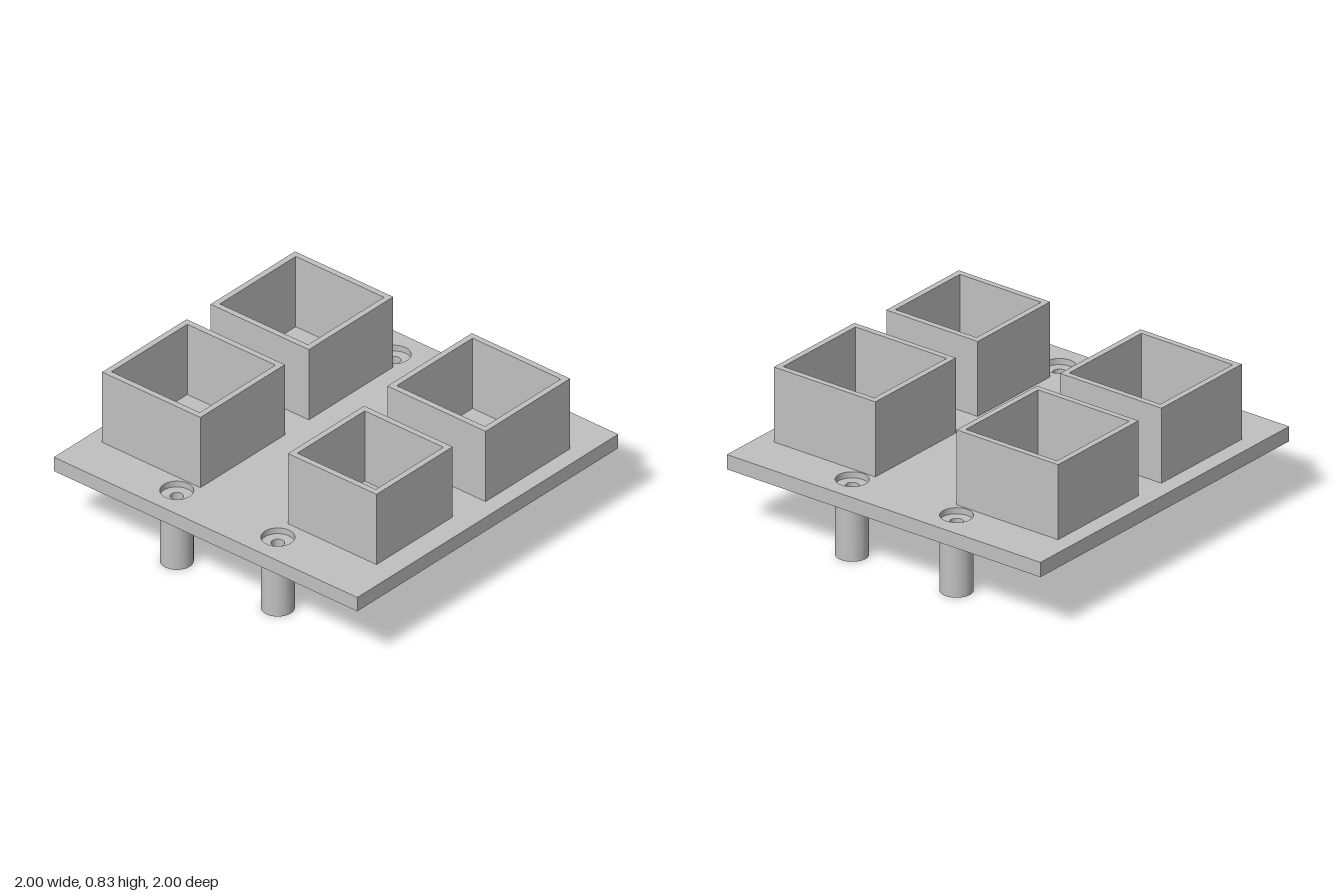
import * as THREE from 'three';
import { toCreasedNormals } from 'three/addons/utils/BufferGeometryUtils.js';

const PLATE_BOTTOM = 0.335, PLATE_TOP = 0.417, BOX_TOP = 0.833;
const POST_X = 0.333, POST_Z = 0.833, POST_R = 0.085, BORE_R = 0.034;
const POST_TOP = 0.383; // post ends just below the plate surface

const rectangle = (kind, w, d) => new kind([
  new THREE.Vector2(-w / 2, -d / 2), new THREE.Vector2(w / 2, -d / 2),
  new THREE.Vector2(w / 2, d / 2), new THREE.Vector2(-w / 2, d / 2),
]);

const circle = (kind, x, y, r) => new kind().absarc(x, y, r, 0, Math.PI * 2, false);

// Extrude a plan outline upwards from y0 to y1
function extrudeUp(shape, y0, y1) {
  const geometry = new THREE.ExtrudeGeometry(shape, {
    depth: y1 - y0, bevelEnabled: false, curveSegments: 40,
  });
  geometry.rotateX(-Math.PI / 2);
  geometry.translate(0, y0, 0);
  return toCreasedNormals(geometry, Math.PI / 6);
}

export function createModel() {
  const model = new THREE.Group();
  const grey = new THREE.MeshStandardMaterial({ color: 0xc0c0c0 });
  grey.name = 'grey';

  const add = (name, geometry, x = 0, z = 0) => {
    const mesh = new THREE.Mesh(geometry, grey);
    mesh.name = name;
    mesh.position.set(x, 0, z);
    model.add(mesh);
  };

  const corners = [[-1, -1], [1, -1], [-1, 1], [1, 1]];

  // Base plate with four round openings
  const plate = rectangle(THREE.Shape, 2, 2);
  for (const [sx, sz] of corners) {
    plate.holes.push(circle(THREE.Path, sx * POST_X, sz * POST_Z, POST_R));
  }
  add('basePlate', extrudeUp(plate, PLATE_BOTTOM, PLATE_TOP));

  // Hollow posts set into the openings
  const ring = circle(THREE.Shape, 0, 0, POST_R);
  ring.holes.push(circle(THREE.Path, 0, 0, BORE_R));
  const postGeometry = extrudeUp(ring, 0, POST_TOP);
  for (const [sx, sz] of corners) add('post', postGeometry, sx * POST_X, sz * POST_Z);

  // Open square boxes; the front left one is smaller
  const boxes = [
    ['backRightBox', -0.583, -0.417, 0.647],
    ['backLeftBox', 0.582, -0.417, 0.647],
    ['frontRightBox', -0.583, 0.414, 0.647],
    ['frontLeftBox', 0.582, 0.414, 0.583],
  ];
  const wall = 0.033;
  for (const [name, x, z, size] of boxes) {
    const outline = rectangle(THREE.Shape, size, size);
    outline.holes.push(rectangle(THREE.Path, size - 2 * wall, size - 2 * wall));
    add(name, extrudeUp(outline, PLATE_TOP, BOX_TOP), x, z);
  }

  return model;
}
